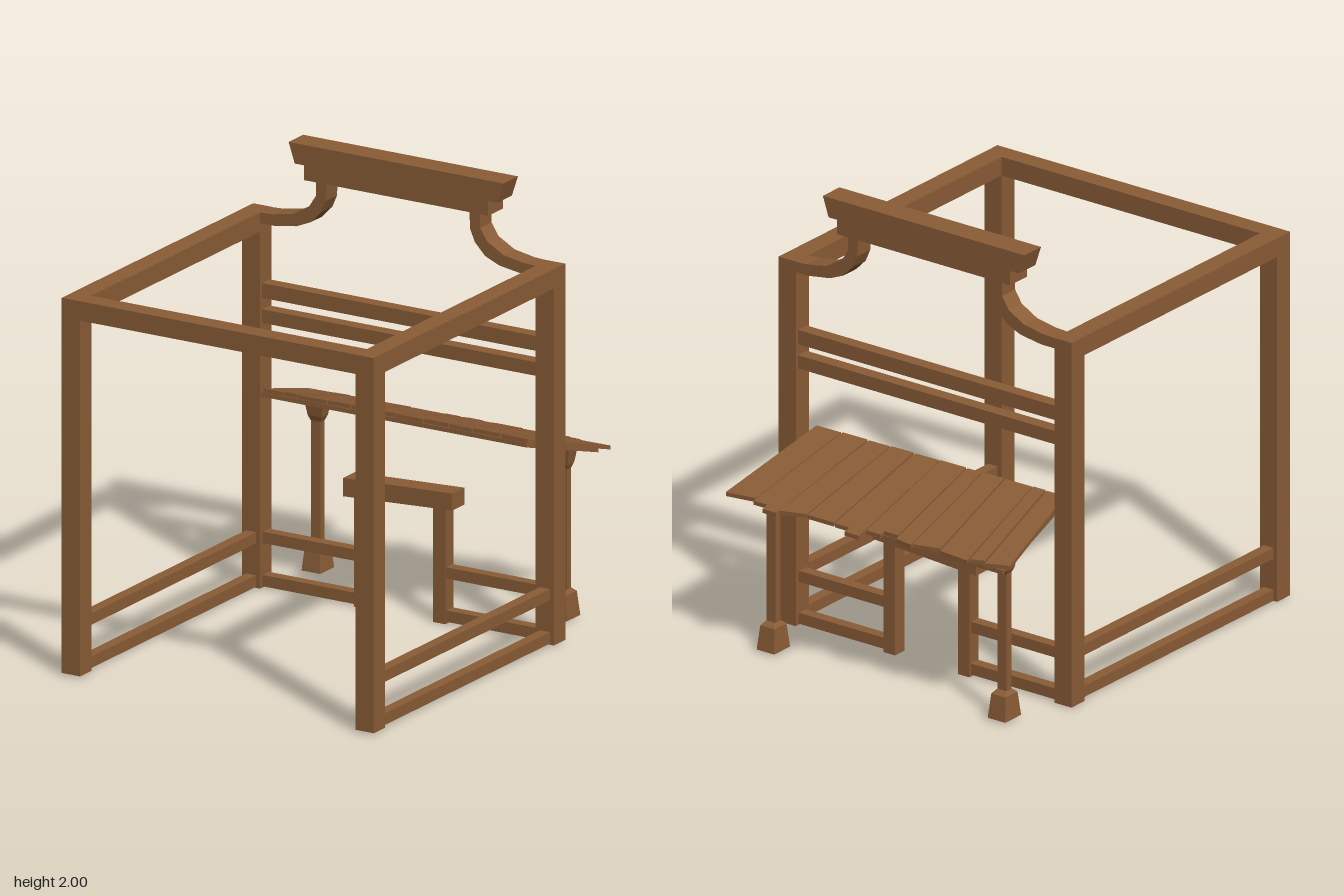
import * as THREE from 'three';

const wood = new THREE.MeshStandardMaterial({ color: 0x8a5c36 });
wood.name = 'brown wood';

export function createModel() {
  const root = new THREE.Group();
  root.name = 'stallFrame';

  const add = (name, geo, parent = root) => {
    const mesh = new THREE.Mesh(geo, wood);
    mesh.name = name;
    parent.add(mesh);
    return mesh;
  };

  // Box given by its minimum and maximum corners
  const bar = (name, x0, x1, y0, y1, z0, z1) => {
    const mesh = add(name, new THREE.BoxGeometry(x1 - x0, y1 - y0, z1 - z0));
    mesh.position.set((x0 + x1) / 2, (y0 + y1) / 2, (z0 + z1) / 2);
    return mesh;
  };

  // Front-facing outline extruded from z0 to z1
  const profile = (name, points, z0, z1) => {
    const shape = new THREE.Shape(points.map(([x, y]) => new THREE.Vector2(x, y)));
    const geo = new THREE.ExtrudeGeometry(shape, { depth: z1 - z0, bevelEnabled: false });
    return add(name, geo.translate(0, 0, z0));
  };

  // Sloping slab: plan outline [x, z], lifted onto the awning slope
  const slope = 0.3;
  const slab = (name, points, base, thick) => {
    const shape = new THREE.Shape(points.map(([x, z]) => new THREE.Vector2(x, -z)));
    const geo = new THREE.ExtrudeGeometry(shape, { depth: thick, bevelEnabled: false });
    geo.rotateX(-Math.PI / 2);
    const p = geo.attributes.position;
    for (let i = 0; i < p.count; i++) p.setY(i, p.getY(i) + base + slope * (p.getZ(i) + 0.43));
    geo.computeVertexNormals();
    return add(name, geo);
  };

  // Rectangular block whose top and bottom differ in half size [x, z]
  const taper = (name, x, z, y0, y1, bottom, top) => {
    const geo = new THREE.BoxGeometry(2, 1, 2).toNonIndexed();
    const p = geo.attributes.position;
    for (let i = 0; i < p.count; i++) {
      const up = p.getY(i) > 0, h = up ? top : bottom;
      p.setXYZ(i, x + p.getX(i) * h[0], up ? y1 : y0, z + p.getZ(i) * h[1]);
    }
    geo.computeVertexNormals();
    return add(name, geo);
  };

  // Main frame, door posts and low rails, mirrored left and right
  for (const s of [1, -1]) {
    const side = s > 0 ? 'left' : 'right';
    const mbar = (name, a, b, ...rest) =>
      bar(side + name, Math.min(s * a, s * b), Math.max(s * a, s * b), ...rest);

    mbar('FrontPost', 0.68, 0.77, 0.01, 1.66, 0.89, 0.98);
    mbar('BackPost', 0.68, 0.77, 0.005, 1.66, -0.53, -0.44);
    mbar('TopBeam', 0.68, 0.77, 1.575, 1.66, -0.44, 0.89);
    mbar('DoorPost', 0.165, 0.225, 0, 0.53, -0.52, -0.455);
    for (const [y0, y1] of [[0.01, 0.06], [0.2, 0.25]]) {
      mbar('SideRail', 0.7, 0.75, y0, y1, -0.44, 0.89);
      mbar('BackRail', 0.22, 0.68, y0, y1, -0.51, -0.46);
    }

    // Curved bracket carrying the header board
    const outline = [
      [0.405, 1.85], [0.405, 1.78], [0.44, 1.725], [0.52, 1.68], [0.62, 1.662], [0.7, 1.658],
      [0.7, 1.613], [0.61, 1.613], [0.5, 1.63], [0.43, 1.66], [0.38, 1.712], [0.357, 1.765], [0.352, 1.85],
    ].map(([x, y]) => [s * x, y]);
    profile(side + 'Bracket', outline, -0.53, -0.44);

    // Awning column with tapered foot and capital
    const x = s > 0 ? 0.605 : -0.61, z = -0.783;
    taper(side + 'ColumnFoot', x, z, 0.01, 0.118, [0.046, 0.055], [0.037, 0.042]);
    taper(side + 'ColumnFootCap', x, z, 0.118, 0.135, [0.037, 0.042], [0.024, 0.022]);
    taper(side + 'ColumnShaft', x, z, 0.13, 0.68, [0.024, 0.016], [0.024, 0.016]);
    taper(side + 'CapitalBase', x, z, 0.665, 0.688, [0.024, 0.018], [0.034, 0.026]);
    taper(side + 'Capital', x, z, 0.688, 0.757, [0.034, 0.026], [0.046, 0.036]);
  }

  bar('frontTopBeam', -0.68, 0.68, 1.575, 1.66, 0.89, 0.98);
  bar('lowerBackSlat', -0.68, 0.68, 1.17, 1.23, -0.515, -0.455);
  bar('upperBackSlat', -0.68, 0.68, 1.28, 1.345, -0.515, -0.455);

  // Crooked door lintel
  profile('doorLintel', [[-0.275, 0.48], [0.265, 0.51], [0.265, 0.585], [-0.275, 0.56]], -0.54, -0.445);

  // Header board with stepped, flared ends
  profile('headerBoard', [
    [-0.455, 1.845], [0.455, 1.845], [0.455, 1.91], [0.5, 1.91], [0.53, 2],
    [-0.53, 2], [-0.5, 1.91], [-0.455, 1.91],
  ], -0.54, -0.425);

  // Awning backing panel
  slab('awningPanel', [[-0.65, -0.4], [0.645, -0.42], [0.7, -0.905], [-0.695, -0.905]], 0.857, 0.019);

  // Awning planks: front x pair, back x pair, back z pair
  const planks = [
    [-0.65, -0.555, -0.72, -0.61, -0.89, -0.915],
    [-0.547, -0.486, -0.6, -0.534, -0.905, -0.92],
    [-0.48, -0.34, -0.524, -0.378, -0.93, -0.92],
    [-0.333, -0.225, -0.37, -0.242, -0.91, -0.93],
    [-0.217, -0.142, -0.234, -0.15, -0.935, -0.925],
    [-0.135, -0.002, -0.144, 0.003, -0.905, -0.93],
    [0.003, 0.13, 0.013, 0.162, -0.97, -0.94],
    [0.14, 0.254, 0.168, 0.305, -0.94, -0.94],
    [0.262, 0.37, 0.315, 0.438, -0.935, -0.96],
    [0.378, 0.508, 0.44, 0.582, -0.98, -0.95],
    [0.517, 0.645, 0.586, 0.732, -0.93, -0.945],
  ];
  planks.forEach(([f0, f1, b0, b1, z0, z1], i) => {
    const front = (x) => -0.425 - 0.012 * x;
    const back = [[b1, z1], [b0, z0]];
    // Planks with a sawn step at the outer end
    const mid = (b0 + b1) / 2;
    if (i === 5) back.splice(1, 0, [mid, z1], [mid, z0]);
    if (i === 6 || i === 9) back.splice(1, 0, [mid, z1], [mid, z0]);
    slab('awningPlank', [[f0, front(f0)], [f1, front(f1)], ...back], 0.876 + 0.002 * (i % 2), 0.018);
  });

  return root;
}
